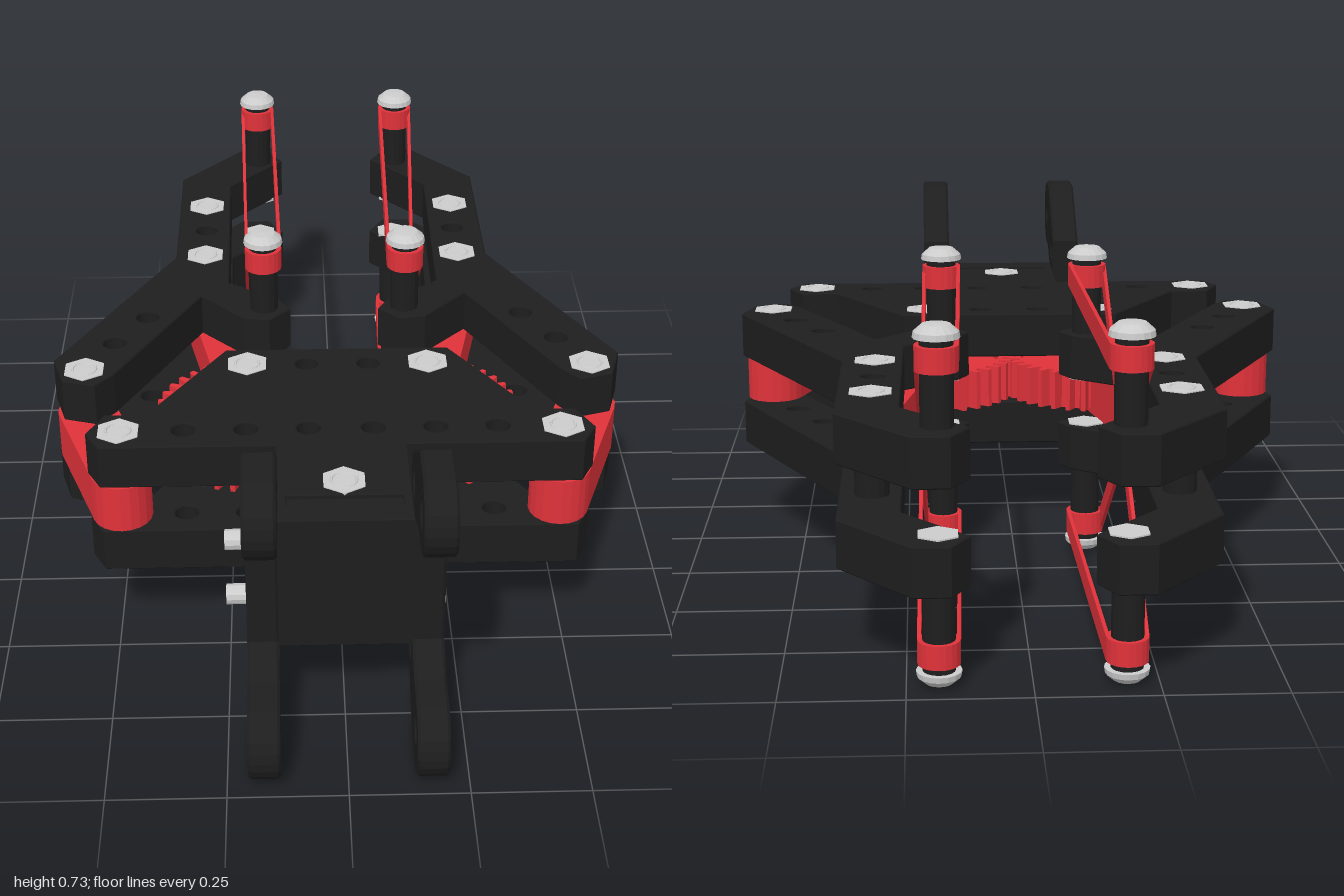
import * as THREE from 'three';

const black = new THREE.MeshStandardMaterial({ color: 0x1e1e1e, flatShading: true });
const red = new THREE.MeshStandardMaterial({ color: 0xe0323a, flatShading: true });
const grey = new THREE.MeshStandardMaterial({ color: 0xcccccc, flatShading: true });
const MID = 0.368; // mirror height of the whole gripper

const vec = (pts) => pts.map(([a, b]) => new THREE.Vector2(a, b));
const circle = (x, z, r, n = 20) => Array.from({ length: n }, (_, i) => {
  const a = (i / n) * Math.PI * 2;
  return [x + r * Math.cos(a), z + r * Math.sin(a)];
});

// Outline of a bar with round ends running from a to b
function capsule(a, b, r, n = 10) {
  const ang = Math.atan2(b[1] - a[1], b[0] - a[0]);
  const arc = (c, start) => Array.from({ length: n + 1 }, (_, i) => {
    const t = start + (i / n) * Math.PI;
    return [c[0] + r * Math.cos(t), c[1] + r * Math.sin(t)];
  });
  return [...arc(b, ang - Math.PI / 2), ...arc(a, ang + Math.PI / 2)];
}

// Rectangular window at fraction t of the line from a to b
function windowAt(a, b, t, length, width) {
  const l = Math.hypot(b[0] - a[0], b[1] - a[1]);
  const d = [(b[0] - a[0]) / l, (b[1] - a[1]) / l];
  const c = [a[0] + (b[0] - a[0]) * t, a[1] + (b[1] - a[1]) * t];
  return [[-1, -1], [1, -1], [1, 1], [-1, 1]].map(([u, v]) => [
    c[0] + (d[0] * u * length - d[1] * v * width) / 2,
    c[1] + (d[1] * u * length + d[0] * v * width) / 2]);
}

function extrude(pts, depth, holes = [], bevel = 0) {
  const shape = new THREE.Shape(vec(pts));
  for (const h of holes) shape.holes.push(new THREE.Path(vec(h)));
  const geo = new THREE.ExtrudeGeometry(shape, {
    depth: depth - 2 * bevel, bevelEnabled: bevel > 0, bevelThickness: bevel,
    bevelSize: bevel, bevelOffset: -bevel, bevelSegments: 1,
  });
  return geo.translate(0, 0, bevel);
}

export function createModel() {
  const root = new THREE.Group();
  const add = (name, geo, mat, parent = root) => {
    const m = new THREE.Mesh(geo, mat);
    m.name = name;
    parent.add(m);
    return m;
  };
  // Plate drawn in x and z, lying between y0 and y1
  const slab = (name, pts, y0, y1, mat, holes, bevel, parent) =>
    add(name, extrude(pts, y1 - y0, holes, bevel).rotateX(Math.PI / 2).translate(0, y1, 0), mat, parent);
  const rod = (name, x, z, r, y0, y1, mat, sides = 16, parent = root) =>
    add(name, new THREE.CylinderGeometry(r, r, y1 - y0, sides).translate(x, (y0 + y1) / 2, z), mat, parent);

  // Screw through both layers with a hexagonal nut set into each face
  const screw = (x, z, parent = root) => {
    rod('screwShaft', x, z, 0.022, MID - 0.163, MID + 0.163, grey, 12, parent);
    for (const s of [-1, 1]) {
      const y = MID + s * 0.16;
      rod('nut', x, z, 0.05, y - 0.003, y + 0.003, grey, 6, parent);
      const ring = new THREE.TorusGeometry(0.027, 0.003, 6, 16).rotateX(Math.PI / 2);
      add('nutRim', ring.translate(x, y + s * 0.003, z), grey, parent);
    }
  };
  const layers = [[MID - 0.161, MID - 0.056], [MID + 0.056, MID + 0.161]];

  // Base plates with a shallow slot over the solid neck
  const half = [[0.14, 0.77], [0.14, 0.492], [0.52, 0.492], [0.55, 0.435], [0.515, 0.362], [0.425, 0.362], [0.255, 0.09]];
  const plate = [...half, ...half.map(([x, z]) => [-x, z]).reverse()];
  const plateHoles = [-0.34, -0.205, -0.07, 0.07, 0.205, 0.34].map((x) => circle(x, 0.425, 0.026));
  for (const s of [-1, 1]) plateHoles.push(circle(s * 0.07, 0.155, 0.026));
  plateHoles.push([[-0.12, 0.68], [0.12, 0.68], [0.12, 0.715], [-0.12, 0.715]]);
  for (const [y0, y1] of layers) slab('basePlate', plate, y0, y1, black, plateHoles, 0.003);
  add('neckCore', new THREE.BoxGeometry(0.28, 0.3, 0.27).translate(0, MID, 0.635), black);
  for (const s of [-1, 1]) {
    screw(s * 0.205, 0.155);
    screw(s * 0.48, 0.43);
  }
  screw(0, 0.63);

  // Side brackets with two lugs each, drawn in z and y
  const lug = Array.from({ length: 13 }, (_, i) => {
    const a = Math.PI / 2 - (i / 12) * Math.PI;
    return [0.912 + 0.088 * Math.cos(a), 0.646 + 0.088 * Math.sin(a)];
  });
  const upper = [[0.64, 0.61], [0.83, 0.734], ...lug, [0.85, 0.558], [0.77, 0.515]];
  const bracket = [...upper, ...upper.map(([z, y]) => [z, 2 * MID - y]).reverse()];
  const bracketHoles = [];
  for (const s of [-1, 1]) {
    bracketHoles.push(circle(0.912, MID + s * 0.274, 0.026), circle(0.71, MID + s * 0.207, 0.026));
  }
  for (const s of [-1, 1]) {
    const geo = extrude(bracket, 0.067, bracketHoles, 0.006).rotateY(-Math.PI / 2);
    add('mountBracket', geo.translate(s > 0 ? 0.206 : -0.139, 0, 0), black);
    const y = MID + s * 0.07;
    add('crossScrew', new THREE.CylinderGeometry(0.022, 0.022, 0.45, 12).rotateZ(Math.PI / 2).translate(-0.023, y, 0.705), grey);
    add('crossScrewHead', new THREE.CylinderGeometry(0.036, 0.042, 0.006, 16).rotateZ(-Math.PI / 2).translate(0.206, y, 0.705), grey);
  }

  // Finger outline, shared by both layers and mirrored for each side
  const finger = [[0.122, -0.935], [0.16, -1], [0.235, -1], [0.387, -0.82], [0.387, -0.375],
    [0.646, 0.125], [0.62, 0.215], [0.545, 0.238], [0.505, 0.19], [0.318, -0.17], [0.215, -0.06],
    [0.155, -0.05], [0.105, -0.1], [0.13, -0.145], [0.253, -0.235], [0.258, -0.78]];
  const rearPost = [0.167, -0.11], tipPost = [0.185, -0.927];

  for (const s of [1, -1]) {
    const side = new THREE.Group();
    side.name = s > 0 ? 'leftJaw' : 'rightJaw';
    root.add(side);
    const flip = ([x, z]) => [s * x, z];
    const holes = [[0.315, -0.518], [0.442, -0.07], [0.512, 0.05]].map((p) => circle(...flip(p), 0.027));
    for (const [y0, y1] of layers) slab('finger', finger.map(flip), y0, y1, black, holes, 0.003, side);
    for (const p of [[0.573, 0.17], [0.315, -0.38], [0.318, -0.655]]) screw(...flip(p), side);
    rod('fingerSpacer', s * 0.318, -0.655, 0.036, MID - 0.06, MID + 0.06, black, 16, side);

    // Drive arm running from the gear to the finger, and the outer link
    const g = flip([0.203, 0.155]), e = flip([0.315, -0.38]);
    const armWindow = windowAt(g, e, 0.25, 0.065, 0.065);
    slab('driveArm', capsule(g, e, 0.055), MID - 0.055, MID + 0.055, red, [armWindow], 0, side);
    const a = flip([0.48, 0.43]), b = flip([0.573, 0.17]);
    slab('outerLink', capsule(a, b, 0.066), MID - 0.055, MID + 0.055, red, [windowAt(a, b, 0.5, 0.075, 0.065)], 0, side);

    // Toothed wheel: rim and a thinner web that shares the arm's window
    const n = 36, teeth = [];
    for (let i = 0; i < n; i++) {
      for (const [f, r] of [[-0.32, 0.188], [-0.14, 0.214], [0.14, 0.214], [0.32, 0.188]]) {
        const t = ((i + f + (s > 0 ? 0.5 : 0)) / n) * Math.PI * 2;
        teeth.push([g[0] + r * Math.cos(t), g[1] + r * Math.sin(t)]);
      }
    }
    slab('gearRim', teeth, MID - 0.045, MID + 0.045, red, [circle(...g, 0.177, 32)], 0, side);
    slab('gearWeb', circle(...g, 0.18, 32), MID - 0.025, MID + 0.025, red, [armWindow], 0, side);
    rod('gearHub', ...g, 0.065, MID - 0.055, MID + 0.055, red, 20, side);

    // Band posts standing outward from each layer, with domed heads
    for (const p of [rearPost, tipPost]) {
      const [x, z] = flip(p);
      for (const k of [-1, 1]) {
        const y = MID + k * 0.24;
        rod('bandPost', x, z, 0.033, y - 0.1, y + 0.1, black, 16, side);
        const pts = vec([[0, 0], [0.046, 0], [0.044, 0.012], [0.028, 0.026], [0, 0.028]]);
        const head = new THREE.LatheGeometry(pts, 16);
        if (k < 0) head.rotateX(Math.PI);
        add('postHead', head.translate(x, MID + k * 0.334, z), grey, side);
        rod('innerNut', x, z, 0.045, MID + k * 0.057 - 0.004, MID + k * 0.057 + 0.004, grey, 6, side);
        rod('bandWrap', x, z, 0.043, MID + k * 0.295 - 0.025, MID + k * 0.295 + 0.025, red, 20, side);
      }
    }

    // One stretched band: level strands on the inside, crossing strands on the outside
    for (const [ya, yb, off] of [[1, 1, -0.039], [-1, -1, -0.039], [1, -1, 0.039], [-1, 1, 0.039]]) {
      const A = flip([rearPost[0] + off, rearPost[1]]), B = flip([tipPost[0] + off, tipPost[1]]);
      const geo = extrude(capsule(A, B, 0.004, 2), 0.05).rotateX(Math.PI / 2);
      const pos = geo.attributes.position;
      for (let i = 0; i < pos.count; i++) {
        const t = THREE.MathUtils.clamp((pos.getZ(i) - A[1]) / (B[1] - A[1]), 0, 1);
        pos.setY(i, pos.getY(i) + 0.025 + MID + 0.295 * (ya + (yb - ya) * t));
      }
      geo.computeVertexNormals();
      add('bandStrand', geo, red, side);
    }
  }
  return root;
}
